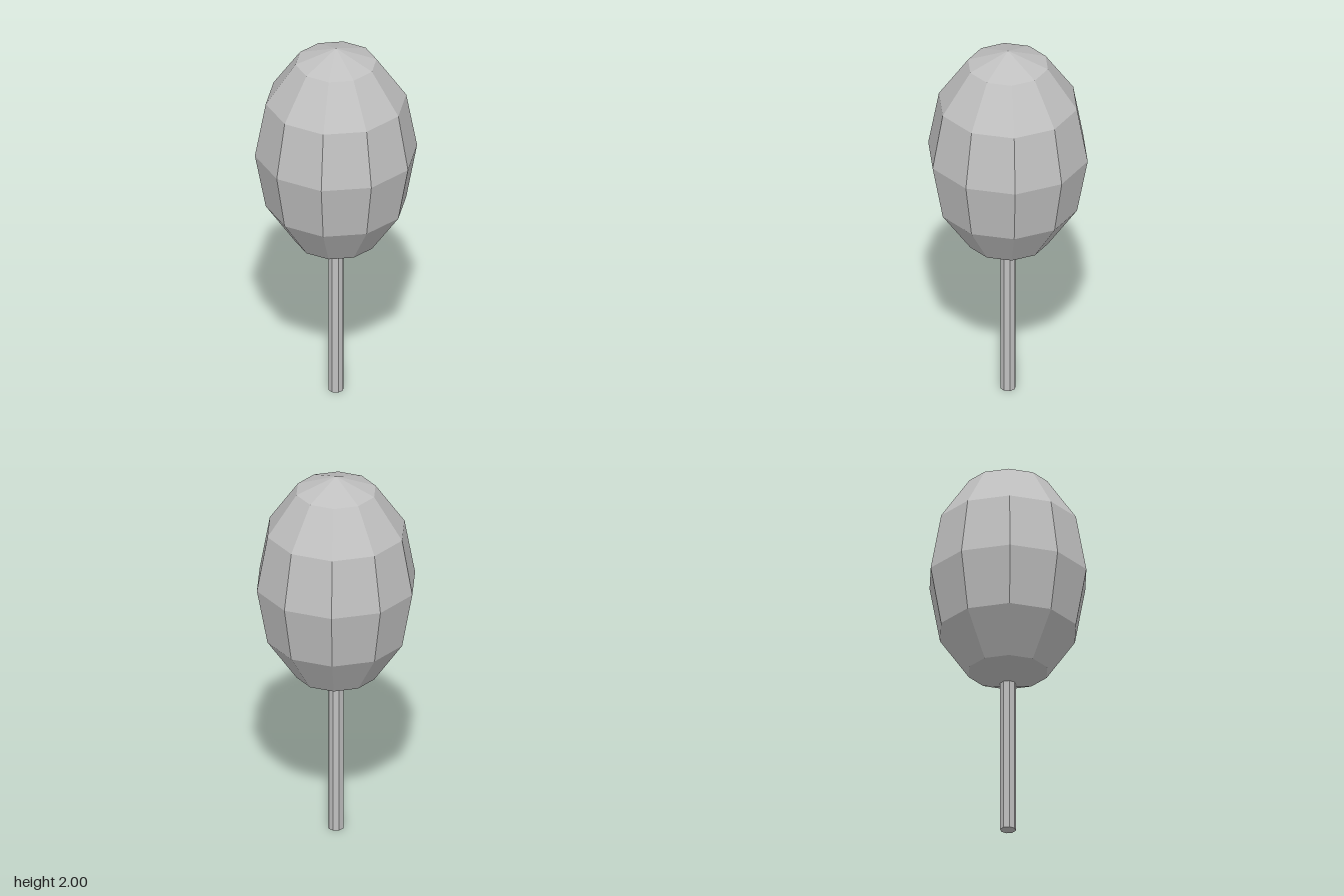
import * as THREE from 'three';

export function createModel() {
  const model = new THREE.Group();
  const grey = new THREE.MeshStandardMaterial({ color: 0xc0c0c0, flatShading: true });
  grey.name = 'grey';

  // Faceted egg-shaped crown: ten sides, six bands
  const crown = new THREE.Mesh(new THREE.SphereGeometry(1, 10, 6), grey);
  crown.name = 'crown';
  crown.scale.set(0.414, 0.6, 0.414);
  crown.position.y = 1.4;

  // Slim straight trunk, reaching just inside the crown
  const trunkHeight = 0.84;
  const trunk = new THREE.Mesh(new THREE.CylinderGeometry(0.04, 0.04, trunkHeight, 8), grey);
  trunk.name = 'trunk';
  trunk.position.y = trunkHeight / 2;

  model.add(crown, trunk);
  return model;
}
